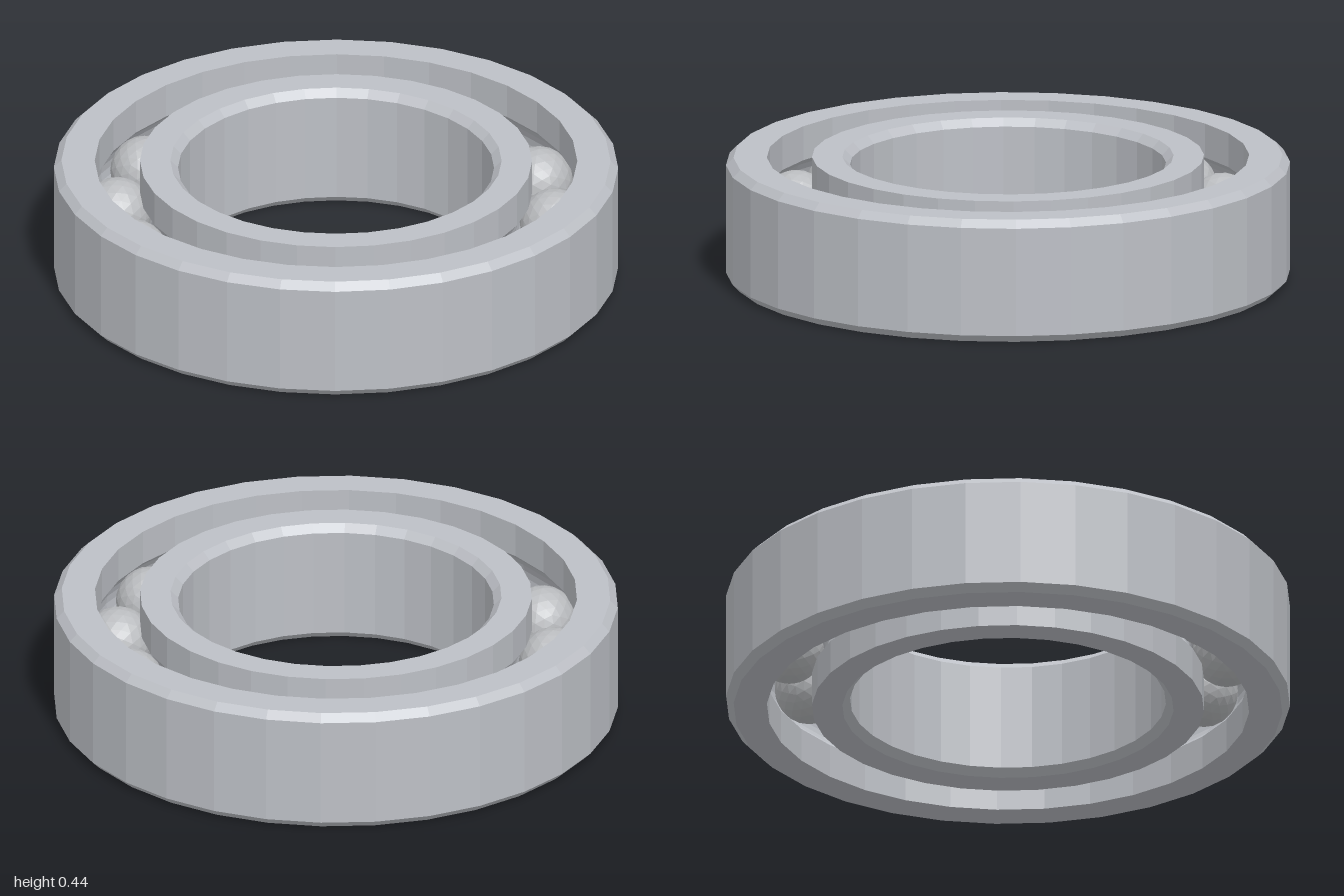
import * as THREE from 'three';

const HEIGHT = 0.445, MID = HEIGHT / 2, CHAMFER = 0.027;
const SEGMENTS = 32, BALLS = 14, PITCH = 0.775, BALL_R = 0.123;

// Arc of the ball groove cut into a wall at radius wallR; side is +1 (outer ring) or -1 (inner ring)
function groove(wallR, side, upward) {
  const r = BALL_R + 0.004;
  const half = Math.acos(Math.abs(wallR - PITCH) / r);
  const points = [];
  for (let i = 0; i <= 8; i++) {
    const a = (upward ? 1 : -1) * half * (i / 4 - 1);
    points.push([PITCH + side * r * Math.cos(a), MID + r * Math.sin(a)]);
  }
  return points;
}

function ring(name, profile, material) {
  const points = profile.map(([r, y]) => new THREE.Vector2(r, y));
  const mesh = new THREE.Mesh(new THREE.LatheGeometry(points, SEGMENTS), material);
  mesh.name = name;
  return mesh;
}

export function createModel() {
  const model = new THREE.Group();
  model.name = 'ballBearing';

  const steel = new THREE.MeshStandardMaterial({ color: 0xbdc0c6 });
  steel.name = 'ring steel';
  steel.flatShading = true;
  const ballSteel = new THREE.MeshStandardMaterial({ color: 0xbabcbf });
  ballSteel.name = 'ball steel';
  ballSteel.flatShading = true;

  // Outer ring: chamfered outside, grooved inside
  const outerR = 1, outerWall = 0.855;
  model.add(ring('outerRing', [
    [outerWall, 0], [outerR - CHAMFER, 0], [outerR, CHAMFER],
    [outerR, HEIGHT - CHAMFER], [outerR - CHAMFER, HEIGHT], [outerWall, HEIGHT],
    ...groove(outerWall, 1, false), [outerWall, 0],
  ], steel));

  // Inner ring: grooved outside, chamfered around the bore
  const bore = 0.56, innerWall = 0.695;
  model.add(ring('innerRing', [
    [bore + CHAMFER, 0], [innerWall, 0], ...groove(innerWall, -1, true),
    [innerWall, HEIGHT], [bore + CHAMFER, HEIGHT], [bore, HEIGHT - CHAMFER],
    [bore, CHAMFER], [bore + CHAMFER, 0],
  ], steel));

  // Balls running between the rings
  const balls = new THREE.Group();
  balls.name = 'balls';
  const ballGeometry = new THREE.IcosahedronGeometry(BALL_R, 3);
  for (let i = 0; i < BALLS; i++) {
    const a = (i / BALLS) * Math.PI * 2;
    const ball = new THREE.Mesh(ballGeometry, ballSteel);
    ball.name = 'ball' + (i + 1);
    ball.position.set(PITCH * Math.cos(a), MID, PITCH * Math.sin(a));
    ball.rotation.y = -a;
    balls.add(ball);
  }
  model.add(balls);

  return model;
}
